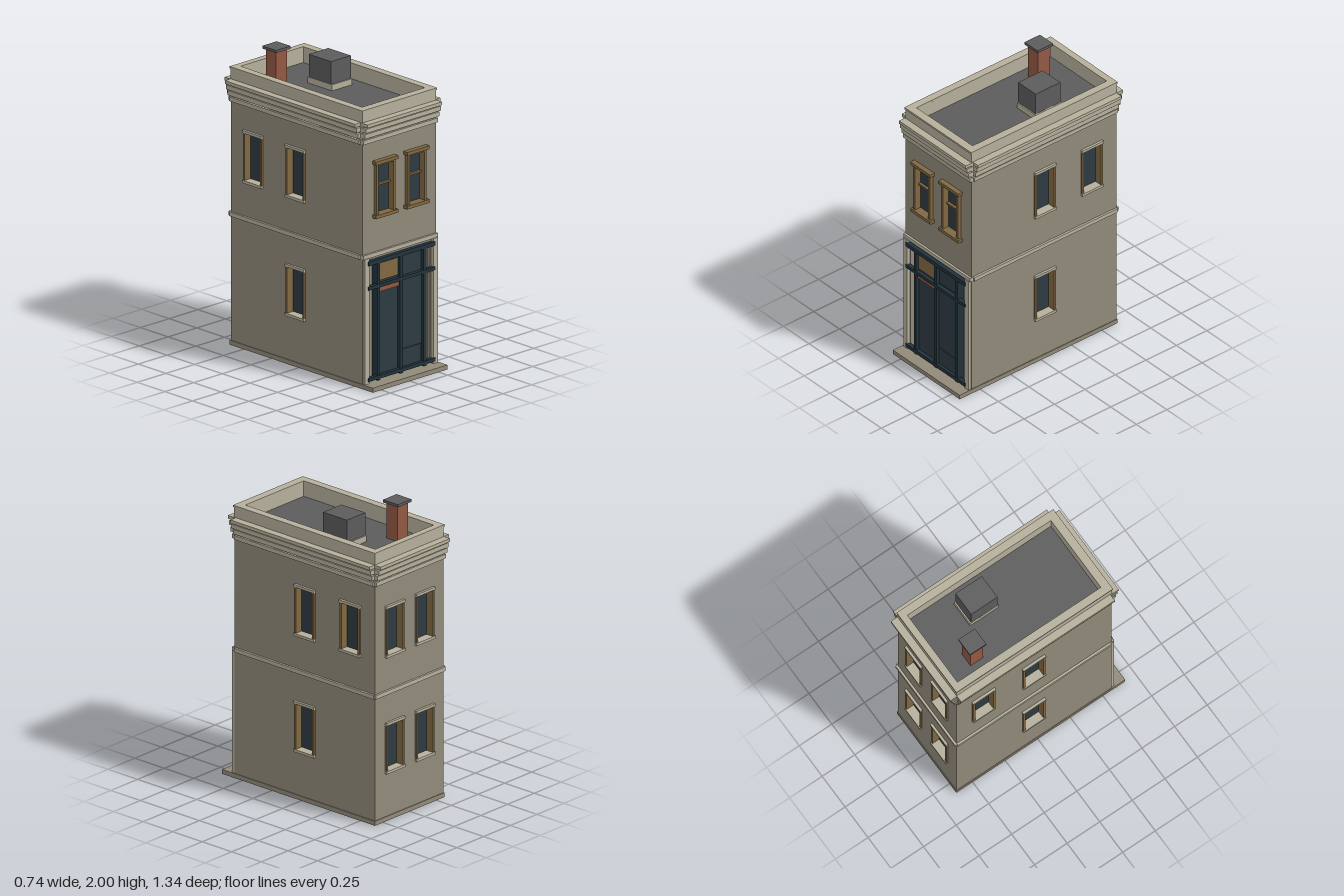
import * as THREE from 'three';

const mat = (name, color) => Object.assign(new THREE.MeshStandardMaterial({ color }), { name });

export function createModel() {
  const M = {
    wall: mat('wall stucco', 0x918a7a),
    trim: mat('pale trim', 0xb5af9b),
    wood: mat('wood', 0x806842),
    glass: mat('dark glass', 0x2e3b42),
    paint: mat('shopfront paint', 0x22323b),
    brick: mat('brick', 0x935943),
    roof: mat('roof grey', 0x5c5c5c),
  };
  const model = new THREE.Group();
  model.name = 'townhouse';

  // Box given by its limits on each axis
  const box = (parent, name, m, x0, x1, y0, y1, z0, z1) => {
    const mesh = new THREE.Mesh(new THREE.BoxGeometry(x1 - x0, y1 - y0, z1 - z0), m);
    mesh.position.set((x0 + x1) / 2, (y0 + y1) / 2, (z0 + z1) / 2);
    mesh.name = name;
    parent.add(mesh);
    return mesh;
  };
  const rect = (P, x0, x1, y0, y1) => {
    const p = new P();
    p.moveTo(x0, y0);
    p.lineTo(x1, y0);
    p.lineTo(x1, y1);
    p.lineTo(x0, y1);
    p.closePath();
    return p;
  };

  // Wall panel with window openings; local z = 0 is its outer surface
  const T = 0.05;
  const wall = (name, x, z, turn, u0, u1, y0, windows, build) => {
    const g = new THREE.Group();
    g.name = name;
    g.position.set(x, 0, z);
    g.rotation.y = turn;
    const shape = rect(THREE.Shape, u0, u1, y0, 1.64);
    for (const [u, b, t] of windows) {
      shape.holes.push(rect(THREE.Path, u - 0.08, u + 0.08, b, t));
      build(g, u, b, t);
    }
    const geo = new THREE.ExtrudeGeometry(shape, { depth: T, bevelEnabled: false });
    geo.translate(0, 0, -T);
    const panel = new THREE.Mesh(geo, M.wall);
    panel.name = name + 'Panel';
    g.add(panel);
    model.add(g);
  };

  // Deep-set window with pale lintel and sill
  const plainWindow = (g, u, b, t) => {
    box(g, 'windowGlass', M.glass, u - 0.08, u + 0.08, b, t, -T, -T + 0.008);
    for (const s of [-1, 1]) {
      const c = u + s * 0.077;
      box(g, 'windowJamb', M.wood, c - 0.008, c + 0.008, b, t, -T + 0.004, 0.011);
    }
    box(g, 'windowLintel', M.trim, u - 0.087, u + 0.087, t - 0.003, t + 0.015, -T + 0.004, 0.017);
    box(g, 'windowSill', M.trim, u - 0.087, u + 0.087, b - 0.014, b + 0.004, -T + 0.004, 0.017);
  };

  // Front sash window with wooden surround
  const sashWindow = (g, u, b, t) => {
    box(g, 'sashGlass', M.glass, u - 0.08, u + 0.08, b, t, -0.03, -0.022);
    for (const s of [-1, 1]) {
      const c = u + s * 0.073;
      box(g, 'sashJamb', M.wood, c - 0.009, c + 0.009, b, t, -0.024, 0.024);
    }
    box(g, 'sashRail', M.wood, u - 0.07, u + 0.07, 1.314, 1.326, -0.024, -0.004);
    box(g, 'sashHead', M.wood, u - 0.084, u + 0.084, t - 0.01, t + 0.005, -0.024, 0.026);
    box(g, 'sashHood', M.wood, u - 0.097, u + 0.097, t, t + 0.022, -0.01, 0.035);
    box(g, 'sashSill', M.wood, u - 0.097, u + 0.097, b - 0.02, b + 0.002, -0.024, 0.035);
  };

  // Base slab and the four walls
  const X = 0.32, ZF = 0.57, ZB = -0.62;
  box(model, 'baseSlab', M.wall, -0.325, 0.325, 0, 0.03, -0.625, 0.67);
  const up = [1.12, 1.44], low = [0.335, 0.65];
  const sideSpots = [[0.03, ...up], [0.415, ...up], [0.03, ...low]];
  wall('leftWall', X, 0, Math.PI / 2, -ZF, -ZB, 0.03, sideSpots, plainWindow);
  wall('rightWall', -X, 0, -Math.PI / 2, ZB, ZF, 0.03,
    sideSpots.map(([u, b, t]) => [-u, b, t]), plainWindow);
  wall('backWall', 0, ZB, Math.PI, -X + T, X - T, 0.03,
    [-0.14, 0.14].flatMap(u => [[u, ...up], [u, ...low]]), plainWindow);
  wall('frontWall', 0, ZF, 0, -X + T, X - T, 0.84,
    [[-0.136, 1.132, 1.468], [0.136, 1.132, 1.468]], sashWindow);

  // Shopfront: recess, pilasters, panels, posts and rails
  const shop = new THREE.Group();
  shop.name = 'shopfront';
  model.add(shop);
  box(shop, 'recessWall', M.wall, -0.27, 0.27, 0.03, 0.85, 0.51, 0.545);
  for (const s of [-1, 1]) {
    box(shop, 'pilaster', M.trim, s * 0.297 - 0.019, s * 0.297 + 0.019, 0.03, 0.86, 0.55, 0.592);
    box(shop, 'shopPanel', M.glass, s * 0.1 - 0.1, s * 0.1 + 0.1, 0.045, 0.83, 0.54, 0.572);
  }
  for (const x of [-0.2, -0.002, 0.203])
    box(shop, 'shopPost', M.paint, x - 0.012, x + 0.012, 0.035, 0.84, 0.54, 0.594);
  for (const [a, b] of [[0.045, 0.068], [0.65, 0.673], [0.812, 0.84]])
    box(shop, 'shopRail', M.paint, -0.29, 0.29, a, b, 0.57, 0.598);
  box(shop, 'transomBoard', M.wood, -0.185, -0.018, 0.688, 0.802, 0.57, 0.58);
  box(shop, 'signStrip', M.brick, -0.19, -0.014, 0.614, 0.642, 0.57, 0.582);
  box(shop, 'transomPane', M.glass, 0.016, 0.186, 0.685, 0.805, 0.57, 0.577);
  box(shop, 'doorPane', M.glass, 0.012, 0.19, 0.19, 0.645, 0.57, 0.577);
  box(shop, 'kickPlate', M.glass, 0.016, 0.182, 0.07, 0.185, 0.57, 0.579);

  // Mouldings: front, back and side strips that leave notched corners
  const band = (name, y0, y1, out) => {
    box(model, name + 'Front', M.trim, -0.325, 0.325, y0, y1, ZF - 0.02, ZF + out);
    box(model, name + 'Back', M.trim, -0.325, 0.325, y0, y1, ZB - out, ZB + 0.02);
    for (const s of [-1, 1])
      box(model, name + 'Side', M.trim, Math.min(s * 0.3, s * (X + out)),
        Math.max(s * 0.3, s * (X + out)), y0, y1, ZB, ZF - 0.012);
  };
  band('stringCourse', 0.857, 0.884, 0.015);
  band('corniceA', 1.62, 1.648, 0.016);
  band('corniceB', 1.662, 1.692, 0.028);
  band('corniceC', 1.703, 1.732, 0.04);
  band('corniceD', 1.741, 1.763, 0.051);

  // Parapet ring and its coping
  const ring = (name, out, y0, y1) => {
    const shape = rect(THREE.Shape, -X - out, X + out, -ZF - out, -ZB + out);
    shape.holes.push(rect(THREE.Path, -0.273, 0.273, -0.52, 0.58));
    const geo = new THREE.ExtrudeGeometry(shape, { depth: y1 - y0, bevelEnabled: false });
    geo.rotateX(-Math.PI / 2).translate(0, y0, 0);
    const mesh = new THREE.Mesh(geo, M.trim);
    mesh.name = name;
    model.add(mesh);
  };
  ring('parapet', 0.001, 1.62, 1.832);
  ring('parapetCoping', 0.006, 1.832, 1.845);

  // Roof deck, chimney and roof vent
  box(model, 'roofDeck', M.roof, -0.28, 0.28, 1.71, 1.74, -0.59, 0.53);
  box(model, 'chimneyShaft', M.brick, -0.2, -0.104, 1.74, 1.982, -0.428, -0.334);
  box(model, 'chimneyCap', M.roof, -0.215, -0.089, 1.982, 2, -0.444, -0.318);
  box(model, 'ventCurb', M.trim, 0.02, 0.193, 1.74, 1.78, -0.278, -0.058);
  box(model, 'ventBox', M.roof, 0.021, 0.192, 1.78, 1.932, -0.268, -0.066);

  return model;
}
